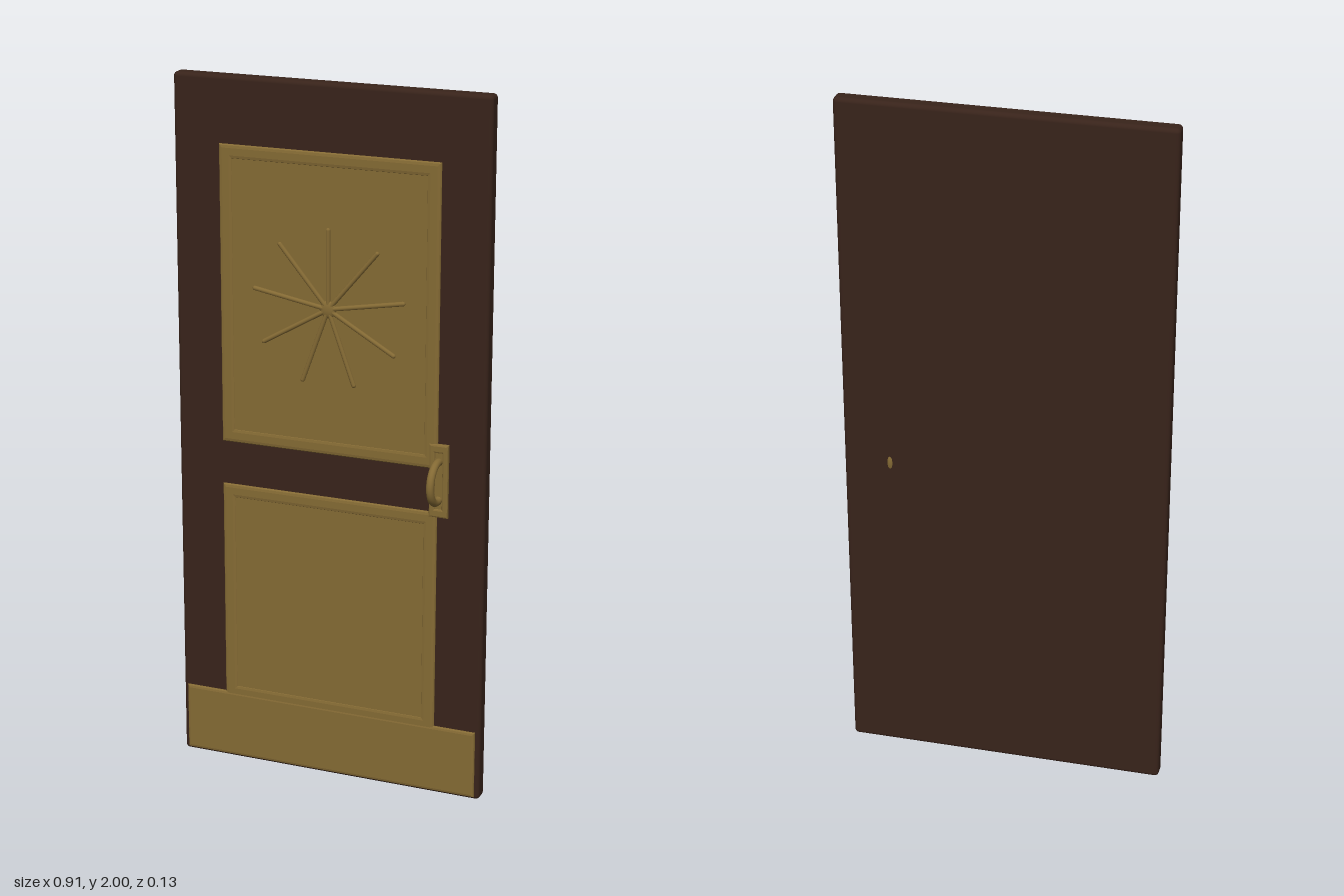
import * as THREE from 'three';
import { RoundedBoxGeometry } from 'three/addons/geometries/RoundedBoxGeometry.js';

const wood = new THREE.MeshStandardMaterial({ color: 0x38231a });
const brass = new THREE.MeshStandardMaterial({ color: 0x846a34 });

function add(parent, name, geometry, material, x = 0, y = 0, z = 0) {
  const mesh = new THREE.Mesh(geometry, material);
  mesh.name = name;
  mesh.position.set(x, y, z);
  parent.add(mesh);
  return mesh;
}

function rect(Type, w, h) {
  const p = new Type();
  p.moveTo(-w / 2, -h / 2);
  p.lineTo(w / 2, -h / 2);
  p.lineTo(w / 2, h / 2);
  p.lineTo(-w / 2, h / 2);
  p.closePath();
  return p;
}

// Plate with chamfered front edges, front face at z = 0, optional opening
function plate(w, h, depth, bevel, hole) {
  const shape = rect(THREE.Shape, w - 2 * bevel, h - 2 * bevel);
  if (hole) shape.holes.push(rect(THREE.Path, hole[0], hole[1]));
  const g = new THREE.ExtrudeGeometry(shape, {
    depth, bevelEnabled: true, bevelSize: bevel, bevelThickness: 0.005, bevelSegments: 2,
  });
  return g.translate(0, 0, -depth - 0.005);
}

// Recessed panel inside a raised moulding
function panel(parent, name, y0, y1) {
  const group = new THREE.Group();
  group.name = name;
  group.position.set(0, (y0 + y1) / 2, 0);
  const w = 0.64, h = y1 - y0;
  add(group, 'moulding', plate(w, h, 0.012, 0.01, [w - 0.06, h - 0.06]), brass, 0, 0, -0.01);
  add(group, 'panelField', new THREE.BoxGeometry(w - 0.03, h - 0.03, 0.012), brass, 0, 0, -0.0185);
  parent.add(group);
}

export function createModel() {
  const door = new THREE.Group();
  door.name = 'door';

  // Slab
  add(door, 'slab', new RoundedBoxGeometry(0.912, 2, 0.047, 3, 0.012), wood, 0, 1, -0.0405);

  // Panels and kick plate
  panel(door, 'upperPanel', 0.97, 1.815);
  panel(door, 'lowerPanel', 0.19, 0.845);
  add(door, 'kickPlate', plate(0.884, 0.198, 0.012, 0.008), brass, 0, 0.108, -0.009);

  // Nine-ray starburst
  const star = new THREE.Group();
  star.name = 'starburst';
  star.position.set(0, 1.385, -0.012);
  for (let i = 0; i < 9; i++) {
    const ray = add(star, 'ray', new THREE.CapsuleGeometry(0.0065, 0.215, 4, 10).translate(0, 0.112, 0), brass);
    ray.rotation.z = (i * Math.PI * 2) / 9;
  }
  const hub = add(star, 'hub', new THREE.SphereGeometry(0.024, 20, 12), brass);
  hub.scale.z = 0.33;
  door.add(star);

  // Handle: back plate and ring passing through the slab
  const handle = new THREE.Group();
  handle.name = 'handle';
  handle.position.set(0.325, 0.937, 0);
  add(handle, 'handlePlate', plate(0.055, 0.21, 0.014, 0.005, [0.03, 0.17]), brass, 0, 0, -0.006);
  add(handle, 'handlePlateField', new THREE.BoxGeometry(0.045, 0.195, 0.012), brass, 0, 0, -0.016);
  const ring = add(handle, 'ring', new THREE.TorusGeometry(0.056, 0.011, 14, 48), brass);
  ring.rotation.y = Math.PI / 2;
  door.add(handle);

  return door;
}
